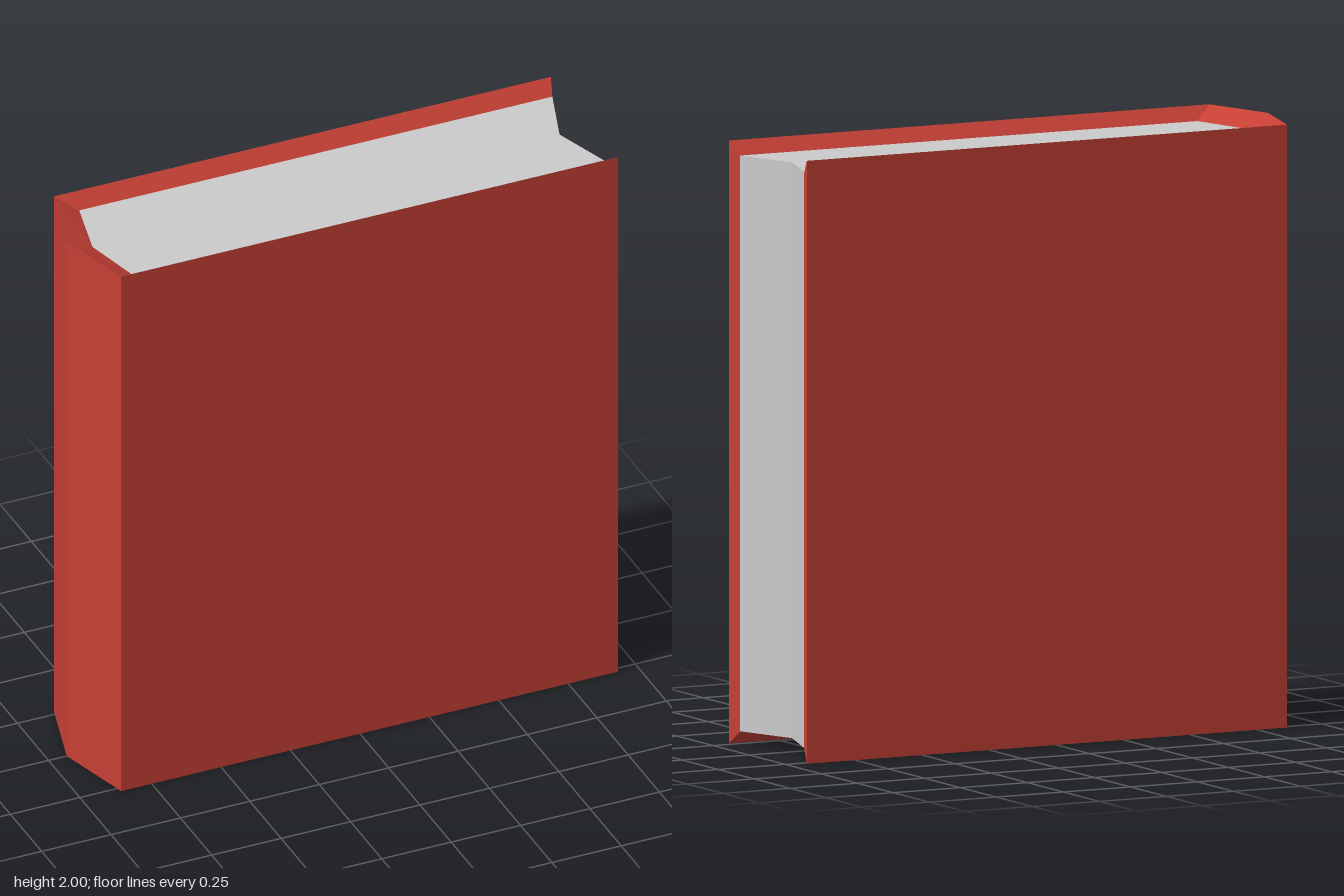
import * as THREE from 'three';

// Footprints as [x, z]: from the front fore edge, round the spine, to the back fore edge
const OUTER = [[0.93, 0.27], [-0.86, 0.27], [-0.935, 0], [-0.86, -0.27], [0.93, -0.27]];
const INNER = [[0.914, 0.222], [-0.79, 0.222], [-0.842, 0], [-0.79, -0.222], [0.914, -0.222]];
const HEIGHT = 2;
const INSET = 0.045;

// Wrap-around cover: a wedge-rimmed section swept along the footprint
function coverGeometry() {
  const rings = OUTER.map(([x, z], i) => {
    const [u, w] = INNER[i];
    return [[x, 0, z], [x, HEIGHT, z], [u, HEIGHT - INSET, w], [u, INSET, w]];
  });
  const positions = [];
  const quad = (a, b, c, d) => positions.push(...a, ...b, ...c, ...a, ...c, ...d);

  for (let i = 0; i < rings.length - 1; i++) {
    const p = rings[i], q = rings[i + 1];
    // outer wall, top rim, bottom rim; the inner side lies against the pages
    for (const k of [0, 1, 3]) {
      const n = (k + 1) % 4;
      quad(q[k], p[k], p[n], q[n]);
    }
  }
  // fore-edge ends of the two boards
  const first = rings[0], last = rings[rings.length - 1];
  quad(first[0], first[3], first[2], first[1]);
  quad(last[0], last[1], last[2], last[3]);

  const geometry = new THREE.BufferGeometry();
  geometry.setAttribute('position', new THREE.Float32BufferAttribute(positions, 3));
  geometry.computeVertexNormals();
  return geometry;
}

// Page block: inner footprint with a V-shaped hollow along the fore edge
function pagesGeometry() {
  const outline = [...INNER, [0.84, 0]].map(([x, z]) => new THREE.Vector2(x, -z));
  const geometry = new THREE.ExtrudeGeometry(new THREE.Shape(outline), {
    depth: HEIGHT - 2 * INSET,
    bevelEnabled: false,
  });
  return geometry.rotateX(-Math.PI / 2).translate(0, INSET, 0);
}

export function createModel() {
  const book = new THREE.Group();
  book.name = 'book';

  const cover = new THREE.Mesh(
    coverGeometry(),
    new THREE.MeshStandardMaterial({ color: 0xc64035, flatShading: true })
  );
  cover.name = 'cover';

  const pages = new THREE.Mesh(
    pagesGeometry(),
    new THREE.MeshStandardMaterial({ color: 0xcccccc, flatShading: true })
  );
  pages.name = 'pages';

  book.add(cover, pages);
  return book;
}
